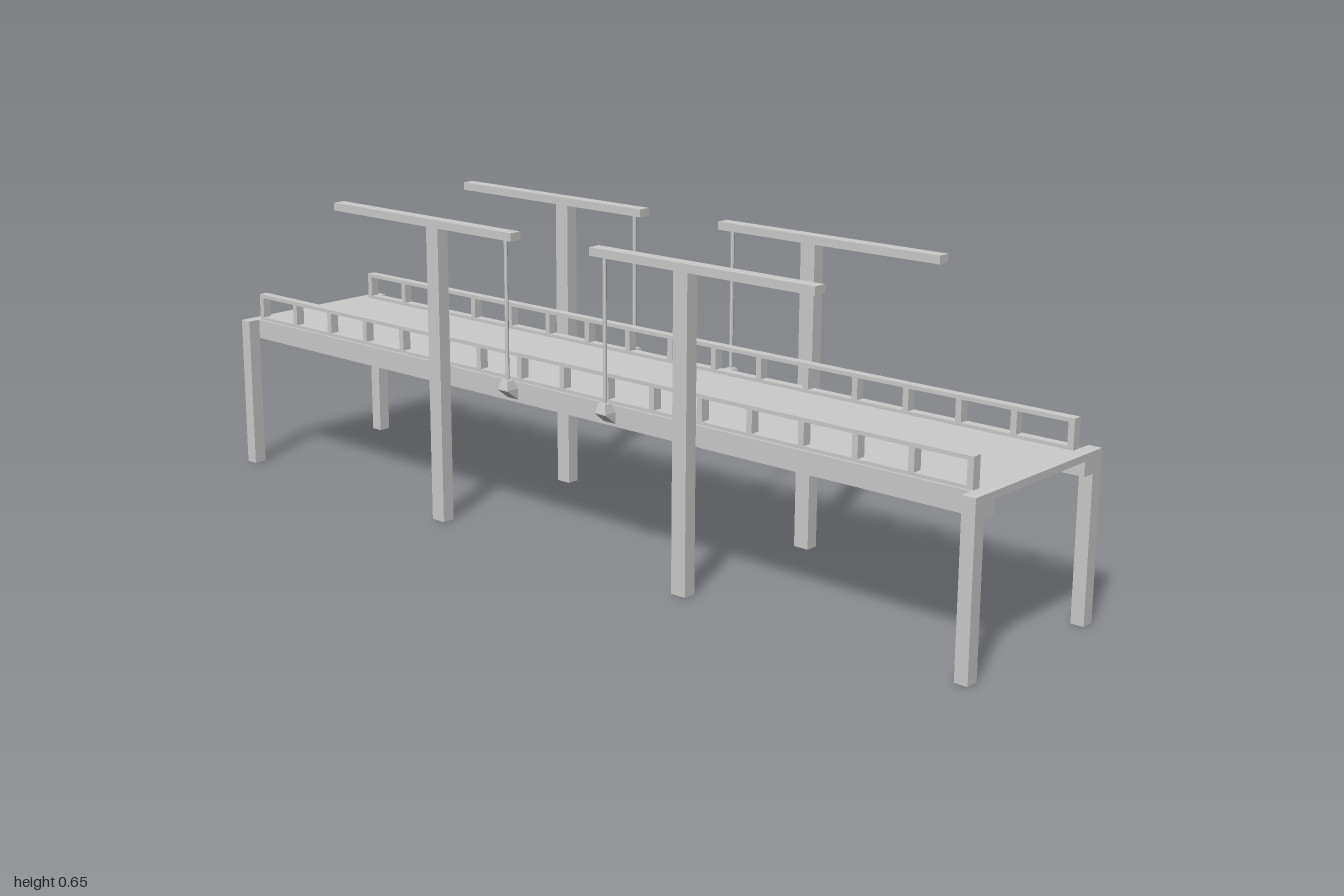
import * as THREE from 'three';

const material = new THREE.MeshStandardMaterial({ color: 0xcccccc, flatShading: true });

export function createModel() {
  const model = new THREE.Group();
  model.name = 'bridge';

  const add = (name, geometry) => {
    const mesh = new THREE.Mesh(geometry, material);
    mesh.name = name;
    model.add(mesh);
    return mesh;
  };
  // Box given by its limits on each axis
  const box = (name, [x0, x1], [y0, y1], [z0, z1]) => {
    const w = Math.abs(x1 - x0), h = Math.abs(y1 - y0), d = Math.abs(z1 - z0);
    add(name, new THREE.BoxGeometry(w, h, d))
      .position.set((x0 + x1) / 2, (y0 + y1) / 2, (z0 + z1) / 2);
  };

  const deckTop = 0.339, deckBottom = 0.325, beamBottom = 0.296;
  const inner = 0.178, outer = 0.206;

  // Road deck with wider ends resting on the corner legs
  box('deck', [-inner, inner], [deckBottom, deckTop], [-1, 1]);

  for (const sx of [-1, 1]) {
    const side = (a, b) => [sx * a, sx * b];

    // Long beam under the deck edge
    box('sideBeam', side(0.148, inner), [beamBottom, deckBottom], [-1, 1]);

    // Railing: two rails joined by evenly spaced posts
    const railX = side(0.153, 0.173), railEnd = 0.972, panels = 16;
    box('topRail', railX, [0.391, 0.399], [-railEnd, railEnd]);
    box('bottomRail', railX, [deckTop, 0.346], [-railEnd, railEnd]);
    const postWidth = 0.013;
    for (let i = 0; i <= panels; i++) {
      const z = -railEnd + postWidth / 2 + (i / panels) * (2 * railEnd - postWidth);
      box('railingPost', railX, [0.346, 0.391], [z - postWidth / 2, z + postWidth / 2]);
    }

    for (const sz of [-1, 1]) {
      const along = (a, b) => [sz * a, sz * b];

      // Corner leg
      box('endLeg', side(inner, outer), [0, deckTop], along(0.972, 1));

      // Tower and its overhead arm
      box('towerPost', side(inner, outer), [0, 0.635], along(0.323, 0.358));
      box('towerArm', side(inner, outer), [0.635, 0.652], along(0.108, 0.653));

      // Hanging rod
      const rodX = sx * 0.192, rodZ = sz * 0.136;
      add('hangerRod', new THREE.CylinderGeometry(0.004, 0.004, 0.293, 8))
        .position.set(rodX, 0.4885, rodZ);

      // Tapered socket at the foot of the rod
      const socket = new THREE.CylinderGeometry(0.009 * Math.SQRT2, 0.0135 * Math.SQRT2, 0.018, 4);
      socket.rotateY(Math.PI / 4);
      add('rodSocket', socket).position.set(rodX, 0.335, rodZ);

      // Wedge bracket fixing the socket to the beam
      const wedge = new THREE.Shape();
      wedge.moveTo(-0.014, -0.024);
      wedge.lineTo(0.0135, -0.003);
      wedge.lineTo(0.0135, 0);
      wedge.lineTo(-0.014, 0);
      wedge.closePath();
      const bracket = new THREE.ExtrudeGeometry(wedge, { depth: 0.03, bevelEnabled: false });
      bracket.translate(0, 0, -0.015);
      if (sx < 0) bracket.rotateY(Math.PI);
      add('hangerBracket', bracket).position.set(rodX, 0.326, rodZ);
    }
  }
  return model;
}
